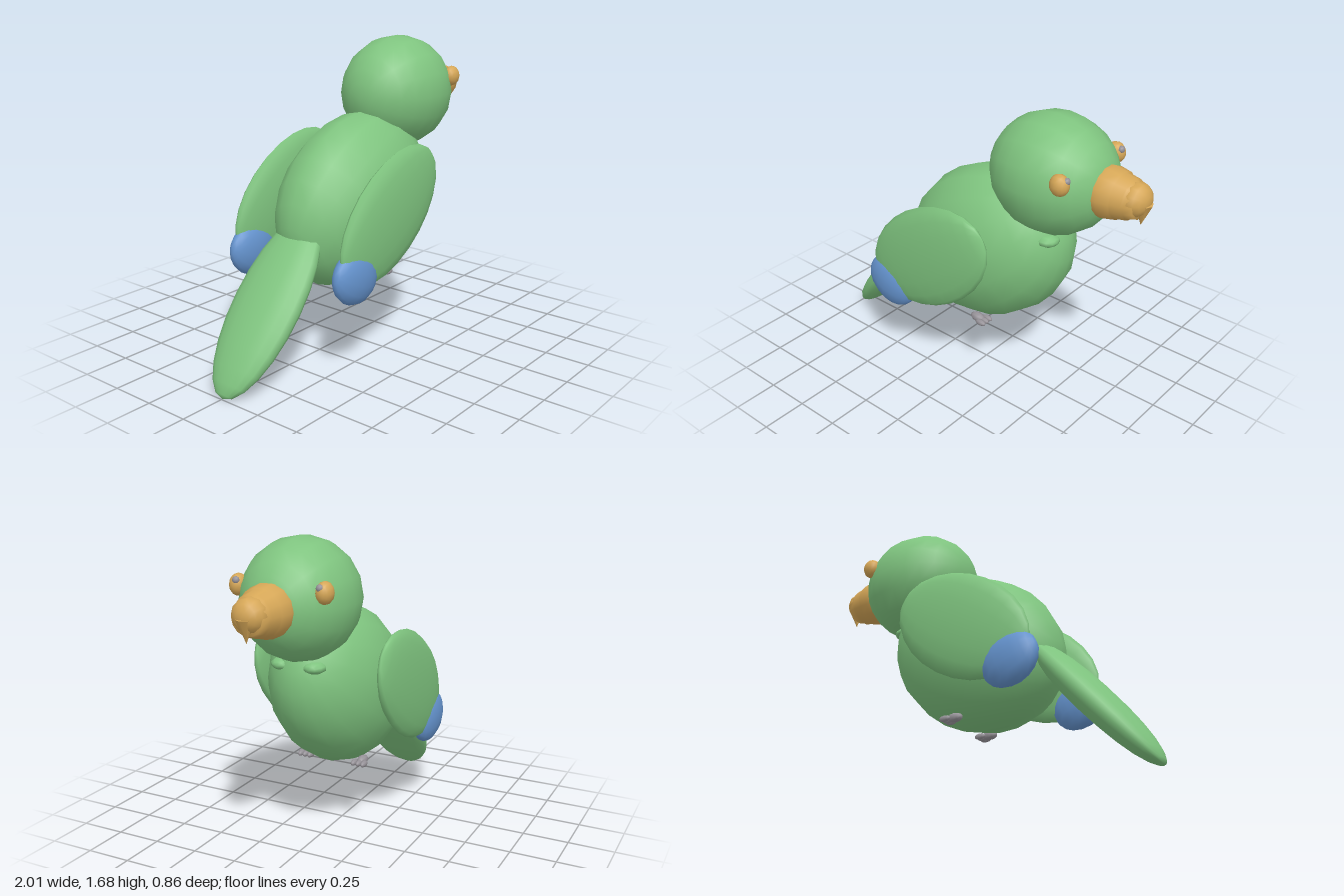
import * as THREE from 'three';

const material = (name, color) => {
  const m = new THREE.MeshStandardMaterial({ color });
  m.name = name;
  return m;
};

export function createModel() {
  const bird = new THREE.Group();
  bird.name = 'bird';
  const green = material('green feathers', 0x7fc47f);
  const blue = material('blue feathers', 0x6594cf);
  const orange = material('orange', 0xd6a757);
  const grey = material('grey', 0x98949a);

  // Ellipsoid whose poles lie on its long axis, tilted in the xy plane.
  // radii: along the axis, across it, sideways (z)
  function blob(name, mat, pos, radii, degrees = 0, seg = 16, rings = 12) {
    const geo = new THREE.SphereGeometry(1, seg, rings);
    geo.scale(radii[1], radii[0], radii[2]);
    const mesh = new THREE.Mesh(geo, mat);
    mesh.name = name;
    mesh.position.set(...pos);
    mesh.rotation.z = THREE.MathUtils.degToRad(degrees - 90);
    bird.add(mesh);
    return mesh;
  }

  // Trunk, head and tail
  blob('body', green, [0.035, 0.825, 0], [0.55, 0.435, 0.33], 31);
  blob('head', green, [0.445, 1.365, 0], [0.345, 0.317, 0.3]);
  blob('tail', green, [-0.655, 0.405, 0], [0.525, 0.09, 0.215], 49.5);

  // Beak: stepped cone turned around the x axis, rounded end and hooked tip
  const profile = [[0.13, 0.74], [0.135, 0.78], [0.123, 0.84], [0.115, 0.845],
    [0.106, 0.9], [0.098, 0.905], [0.085, 0.95], [0, 0.96]];
  const beakGeo = new THREE.LatheGeometry(
    profile.map(([r, x]) => new THREE.Vector2(r, x)), 14);
  const beak = new THREE.Mesh(beakGeo, orange);
  beak.name = 'beak';
  beak.position.y = 1.365;
  beak.rotation.z = -Math.PI / 2;
  bird.add(beak);
  blob('beakEnd', orange, [0.92, 1.375, 0], [0.078, 0.088, 0.092], 0, 12, 8);
  const hook = new THREE.Mesh(new THREE.ConeGeometry(0.045, 0.12, 8), orange);
  hook.name = 'beakHook';
  hook.position.set(0.961, 1.308, 0);
  hook.rotation.z = Math.PI - 0.08;
  bird.add(hook);

  // Paired parts
  for (const [side, s] of [['left', -1], ['right', 1]]) {
    blob(side + 'Wing', green, [-0.1, 0.82, s * 0.365], [0.457, 0.277, 0.066], 33.5);
    blob(side + 'WingTip', blue, [-0.39, 0.555, s * 0.36], [0.165, 0.145, 0.07], -20, 14, 10);
    blob(side + 'NeckTuft', green, [0.48, 1.03, s * 0.09], [0.065, 0.035, 0.065], 0, 10, 6);
    blob(side + 'Eye', orange, [0.645, 1.45, s * 0.238], [0.052, 0.057, 0.045], 0, 12, 8);
    blob(side + 'Pupil', grey, [0.68, 1.477, s * 0.23], [0.018, 0.02, 0.02], 0, 8, 6);
    // Foot with three toes
    blob(side + 'Foot', grey, [0.075, 0.408, s * 0.165], [0.045, 0.026, 0.028], 0, 8, 6);
    for (const t of [-1, 0, 1]) {
      blob(side + 'Toe', grey, [0.12, 0.403, s * 0.165 + t * 0.029],
        [0.034, 0.018, 0.016], 0, 8, 6);
    }
  }
  return bird;
}
